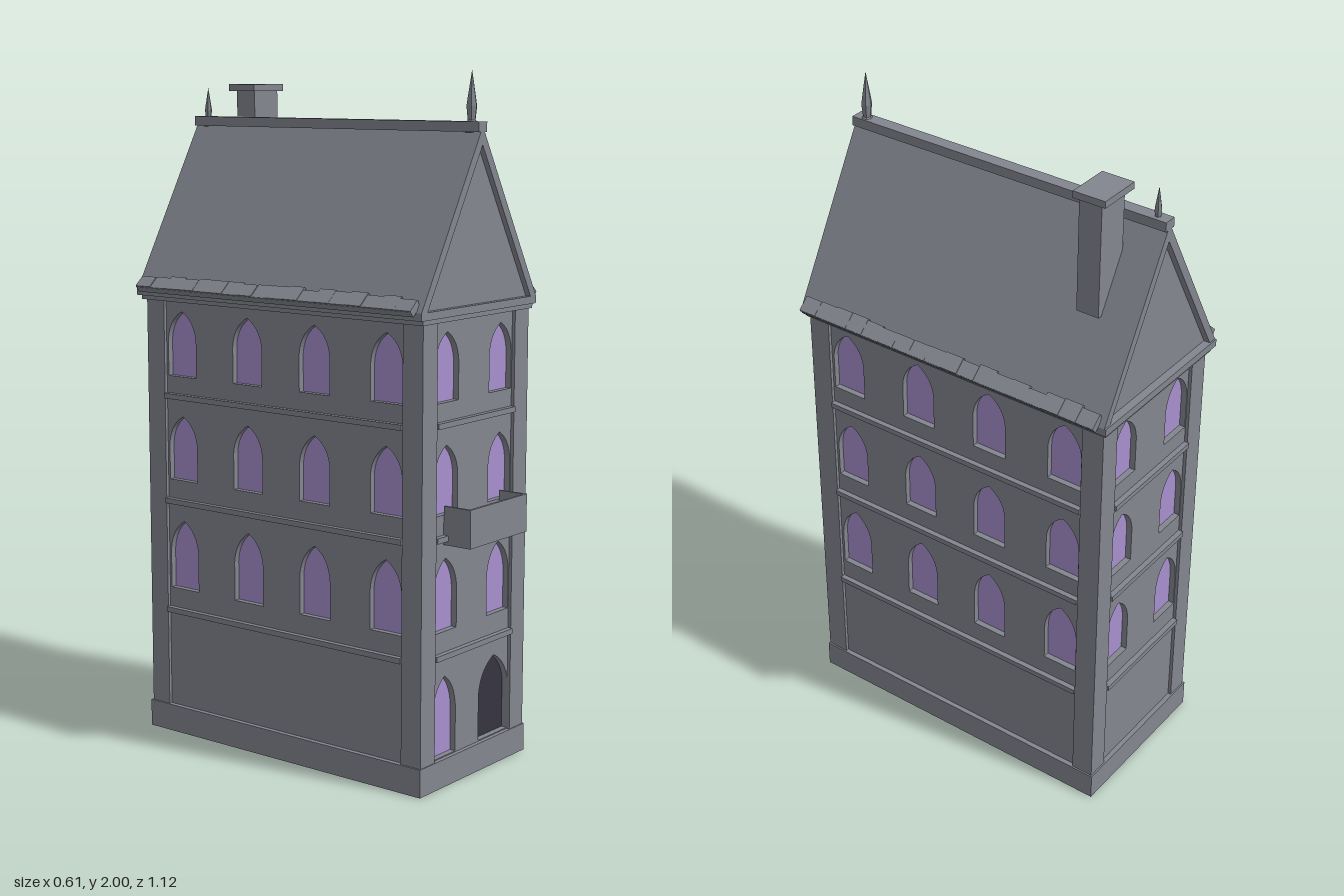
import * as THREE from 'three';

export function createModel() {
  const stone = new THREE.MeshStandardMaterial({ color: 0x83868f, flatShading: true, side: THREE.DoubleSide });
  stone.name = 'greyStone';
  const glass = new THREE.MeshStandardMaterial({ color: 0xa890ce, side: THREE.DoubleSide });
  glass.name = 'violetGlass';
  const dark = new THREE.MeshStandardMaterial({ color: 0x363440, side: THREE.DoubleSide });
  dark.name = 'darkDoorway';

  const root = new THREE.Group();
  root.name = 'townhouse';
  const house = new THREE.Group();
  house.name = 'house';
  house.position.z = -0.03;
  root.add(house);

  const add = (name, geo, mat, parent = house) => {
    const m = new THREE.Mesh(geo, mat);
    m.name = name;
    parent.add(m);
    return m;
  };
  // box given by its min and max corners
  const box = (name, x0, x1, y0, y1, z0, z1, parent = house) => {
    const m = add(name, new THREE.BoxGeometry(x1 - x0, y1 - y0, z1 - z0), stone, parent);
    m.position.set((x0 + x1) / 2, (y0 + y1) / 2, (z0 + z1) / 2);
    return m;
  };
  let seed = 7;
  const rnd = () => (seed = (seed * 16807) % 2147483647) / 2147483647;

  // pointed arch outline
  const arch = (Type, cx, y, w, h) => {
    const s = new Type();
    s.moveTo(cx - w, y);
    s.lineTo(cx + w, y);
    s.lineTo(cx + w, y + h * 0.55);
    s.quadraticCurveTo(cx + w * 0.92, y + h * 0.86, cx, y + h);
    s.quadraticCurveTo(cx - w * 0.92, y + h * 0.86, cx - w, y + h * 0.55);
    s.closePath();
    return s;
  };

  const HX = 0.256, HZ = 0.51, PIL = 0.068;
  const floors = [[0.45, 0.21], [0.785, 0.195], [1.1, 0.195]];
  const bands = [0.382, 0.72, 1.04];

  // one wall: recessed panel with openings, panes and floor bands
  const wall = (name, angle, dist, half, openings) => {
    const g = new THREE.Group();
    g.name = name;
    g.rotation.y = angle;
    house.add(g);
    const w = half - PIL, front = dist - 0.01, depth = 0.022;
    const s = new THREE.Shape();
    s.moveTo(-w - 0.02, 0.07);
    s.lineTo(w + 0.02, 0.07);
    s.lineTo(w + 0.02, 1.34);
    s.lineTo(-w - 0.02, 1.34);
    s.closePath();
    for (const o of openings) {
      s.holes.push(arch(THREE.Path, o.x, o.y, o.w, o.h));
      const pane = add(o.door ? 'doorway' : 'windowPane',
        new THREE.ShapeGeometry(arch(THREE.Shape, o.x, o.y, o.w, o.h)), o.door ? dark : glass, g);
      pane.position.z = front - depth + 0.004;
    }
    const panel = add('wallPanel', new THREE.ExtrudeGeometry(s, { depth, bevelEnabled: false }), stone, g);
    panel.position.z = front - depth;
    for (const y of bands) box('floorBand', -w, w, y - 0.008, y + 0.008, front - 0.01, dist + 0.006, g);
  };
  const upper = xs => xs.flatMap(x => floors.map(([y, h]) => ({ x, y, w: 0.055, h })));
  const pair = upper([-0.13, 0.13]);
  const four = upper([-0.38, -0.125, 0.125, 0.38]);
  wall('frontWall', 0, HZ, HX, [...pair,
    { x: -0.13, y: 0.085, w: 0.055, h: 0.235 },
    { x: 0.115, y: 0.085, w: 0.075, h: 0.24, door: true }]);
  wall('backWall', Math.PI, HZ, HX, pair);
  wall('leftWall', Math.PI / 2, HX, HZ, four);
  wall('rightWall', -Math.PI / 2, HX, HZ, four);

  // corner piers, plinth and cornice
  for (const sx of [-1, 1]) for (const sz of [-1, 1]) {
    const p = add('cornerPier', new THREE.BoxGeometry(PIL, 1.3, PIL), stone);
    p.position.set(sx * (HX - PIL / 2), 0.69, sz * (HZ - PIL / 2));
  }
  box('plinth', -0.261, 0.261, 0, 0.082, -0.515, 0.513);
  box('corniceLower', -0.266, 0.266, 1.325, 1.342, -0.522, 0.516);
  box('corniceUpper', -0.278, 0.278, 1.338, 1.36, -0.53, 0.52);

  // balcony: floor slab and three thin parapets
  const balcony = new THREE.Group();
  balcony.name = 'balcony';
  house.add(balcony);
  box('balconyFloor', -0.14, 0.14, 0.7, 0.715, 0.49, 0.59, balcony);
  box('balconyFront', -0.14, 0.14, 0.7, 0.81, 0.582, 0.59, balcony);
  for (const s of [-1, 1]) box('balconySide', s * 0.136 - 0.004, s * 0.136 + 0.004, 0.7, 0.81, 0.5, 0.586, balcony);

  // roof shell with inset gables
  const roof = new THREE.Shape();
  roof.moveTo(-0.278, 1.36);
  roof.lineTo(-0.25, 1.36);
  roof.lineTo(0, 1.797);
  roof.lineTo(0.25, 1.36);
  roof.lineTo(0.278, 1.36);
  roof.lineTo(0, 1.848);
  roof.closePath();
  add('roofSlopes', new THREE.ExtrudeGeometry(roof, { depth: 1.045, bevelEnabled: false }), stone).position.z = -0.525;
  const gable = new THREE.Shape();
  gable.moveTo(-0.26, 1.35);
  gable.lineTo(0.26, 1.35);
  gable.lineTo(0, 1.81);
  gable.closePath();
  add('gables', new THREE.ExtrudeGeometry(gable, { depth: 1.01, bevelEnabled: false }), stone).position.z = -0.506;
  box('ridgeCap', -0.02, 0.02, 1.832, 1.86, -0.525, 0.52);

  // uneven sloping eaves
  const n = 18, z0 = -0.507, step = 1.01 / n;
  for (const s of [-1, 1]) {
    const eave = new THREE.Group();
    eave.name = s > 0 ? 'leftEave' : 'rightEave';
    eave.position.set(s * 0.284, 1.373, 0);
    eave.rotation.z = -s * 0.72;
    house.add(eave);
    box('eaveBoard', -0.021, 0.021, -0.012, 0.008, z0, z0 + 1.01, eave);
    for (let i = 0; i < n; i++) {
      const j = rnd() * 0.012;
      box('eaveTile', s > 0 ? -0.02 - j : -0.02, s > 0 ? 0.02 : 0.02 + j, 0, 0.009 + rnd() * 0.004,
        z0 + i * step, z0 + (i + 1) * step, eave);
    }
  }

  // chimney
  box('chimneyStack', 0.05, 0.155, 1.6, 1.94, -0.415, -0.345);
  box('chimneyCap', 0.034, 0.168, 1.936, 1.956, -0.433, -0.333);

  // ridge finials
  const finial = (name, z, r, top) => {
    const h = top - 1.83;
    const pts = [[0, 0], [1.2, 0], [1.4, 0.08], [1.4, 0.14], [0.75, 0.2], [1, 0.42], [0.8, 0.55], [0, 1]]
      .map(([a, b]) => new THREE.Vector2(a * r, b * h));
    add(name, new THREE.LatheGeometry(pts, 6), stone).position.set(0, 1.83, z);
  };
  finial('frontFinial', 0.482, 0.016, 2);
  finial('backFinial', -0.487, 0.011, 1.945);

  return root;
}
